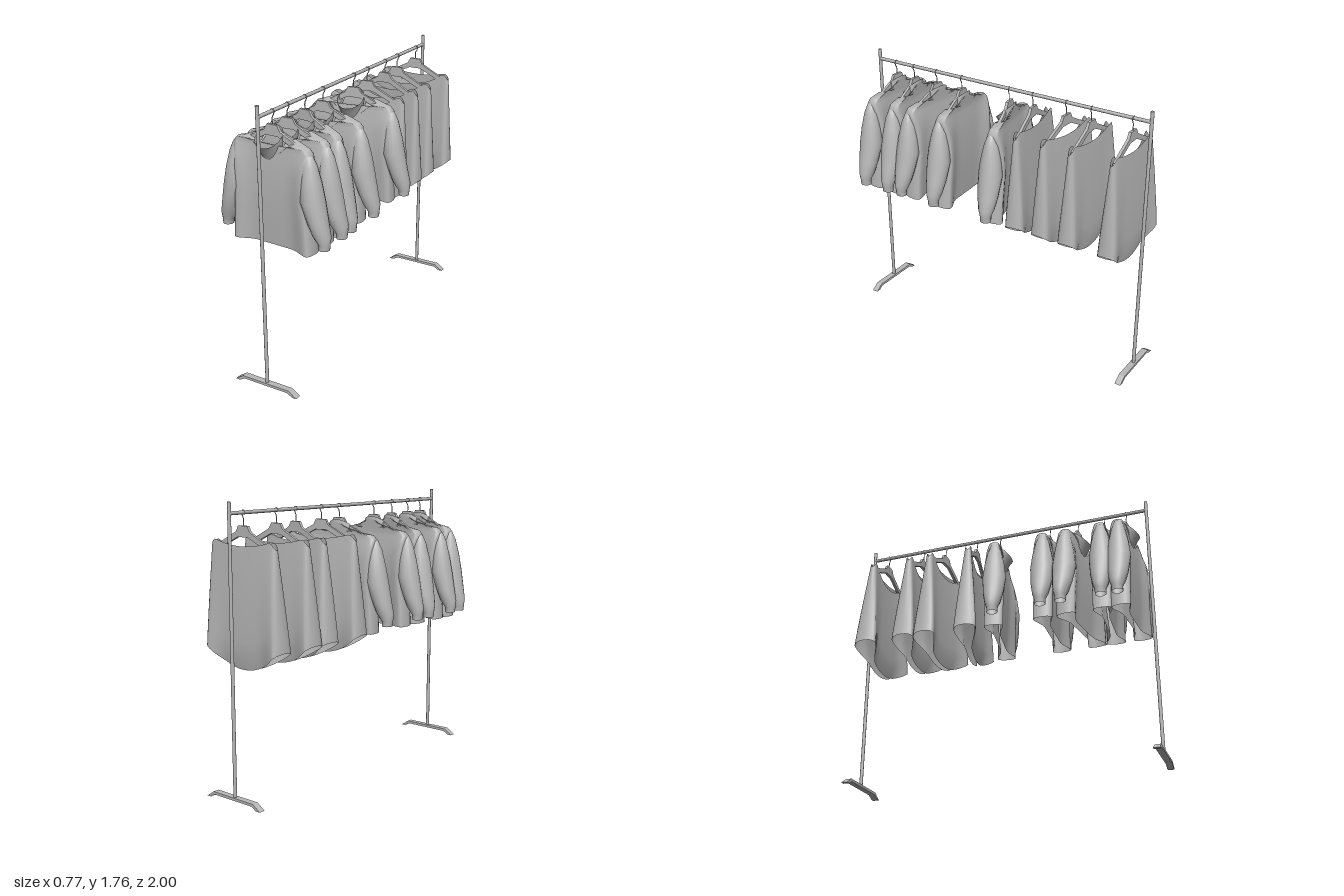
import * as THREE from 'three';

const grey = new THREE.MeshStandardMaterial({ color: 0xb8b8b8, side: THREE.DoubleSide });
grey.name = 'grey';

function part(name, geometry, parent) {
  const mesh = new THREE.Mesh(geometry, grey);
  mesh.name = name;
  parent.add(mesh);
  return mesh;
}

// Closed loops of n points joined into a smooth open-ended skin; point(row, angle) gives [x, y, z]
function loft(rows, n, point) {
  const pos = [], index = [];
  for (let r = 0; r < rows; r++) {
    for (let i = 0; i < n; i++) pos.push(...point(r, (i / n) * Math.PI * 2));
  }
  for (let r = 0; r < rows - 1; r++) {
    for (let i = 0; i < n; i++) {
      const a = r * n + i, b = r * n + (i + 1) % n;
      index.push(a, a + n, b, b, a + n, b + n);
    }
  }
  const g = new THREE.BufferGeometry();
  g.setAttribute('position', new THREE.Float32BufferAttribute(pos, 3));
  g.setIndex(index);
  g.computeVertexNormals();
  return g;
}

// Hanging cloth section: thin in the middle, fuller at the sides, blunt ends
function clothDepth(u, middle) {
  const swell = middle + (1 - middle) * THREE.MathUtils.smoothstep(u, 0.45, 0.95);
  const end = u > 0.92 ? Math.sqrt(Math.max(0, 1 - ((u - 0.92) / 0.08) ** 2)) : 1;
  return swell * end;
}

function hanger(parent) {
  const s = new THREE.Shape();
  const half = [[0.035, 1.62], [0.055, 1.585], [0.22, 1.5], [0.225, 1.48], [0.2, 1.478], [0.04, 1.555]];
  half.forEach(([x, y], i) => (i ? s.lineTo(x, y) : s.moveTo(x, y)));
  [...half].reverse().forEach(([x, y]) => s.lineTo(-x, y));
  const g = new THREE.ExtrudeGeometry(s, { depth: 0.018, bevelEnabled: false });
  g.translate(0, 0, -0.009);
  part('hanger', g, parent);

  // Wire stem with a hook over the rail
  const pts = [[0, 1.61], [0, 1.66], [0.01, 1.68], [0.014, 1.696], [0.006, 1.707], [-0.006, 1.707], [-0.014, 1.695]]
    .map(([x, y]) => new THREE.Vector3(x, y, 0));
  part('hook', new THREE.TubeGeometry(new THREE.CatmullRomCurve3(pts), 20, 0.003, 6), parent);
}

function jacket() {
  const g = new THREE.Group();
  g.name = 'jacket';
  hanger(g);

  // Torso rows: height, half width, half depth, share of depth at the middle, front neck drop
  const body = [
    [0.9, 0.275, 0.062, 0.3, 0], [1.05, 0.265, 0.062, 0.5, 0], [1.2, 0.25, 0.068, 0.58, 0],
    [1.35, 0.253, 0.066, 0.6, 0], [1.44, 0.265, 0.05, 0.7, 0], [1.49, 0.267, 0.034, 0.9, 0],
    [1.515, 0.245, 0.03, 1, 0], [1.56, 0.155, 0.034, 1, 0.05], [1.59, 0.075, 0.036, 1, 0.16],
  ];
  part('torso', loft(body.length, 40, (r, a) => {
    const [y, hw, hd, middle, drop] = body[r];
    const x = Math.cos(a), front = (1 + Math.sin(a)) / 2;
    return [x * hw, y - drop * front, Math.sign(Math.sin(a)) * hd * clothDepth(Math.abs(x), middle)];
  }), g);

  // Sleeve rows: height, centre x, half width, half depth
  const arm = [
    [0.952, 0.345, 0.032, 0.035], [0.985, 0.345, 0.036, 0.035], [1.03, 0.33, 0.055, 0.05],
    [1.1, 0.308, 0.06, 0.064], [1.23, 0.27, 0.073, 0.076], [1.33, 0.263, 0.06, 0.064],
    [1.43, 0.252, 0.046, 0.044], [1.485, 0.243, 0.03, 0.024], [1.5, 0.235, 0.01, 0.006],
  ];
  for (const side of [1, -1]) {
    part(side > 0 ? 'leftSleeve' : 'rightSleeve', loft(arm.length, 16, (r, a) => {
      const [y, cx, rx, rz] = arm[r];
      return [side * cx + Math.cos(a) * rx, y, 0.008 + Math.sin(a) * rz];
    }), g);
  }

  // Open collar rows: half width, half depth, forward lean, height, front drop
  const collar = [
    [0.075, 0.036, 0, 1.59, 0.17], [0.085, 0.036, 0.03, 1.605, 0.13], [0.084, 0.036, 0.05, 1.61, 0.11],
  ];
  part('collar', loft(collar.length, 20, (r, a) => {
    const [rx, rz, lean, y, drop] = collar[r];
    const front = (1 + Math.sin(a)) / 2;
    return [Math.cos(a) * rx - 0.02 * front, y - drop * front, Math.sin(a) * rz + lean * front];
  }), g);
  return g;
}

function top() {
  const g = new THREE.Group();
  g.name = 'sleevelessTop';
  hanger(g);

  // Wide neckline dipping lower in front, curved hem with a tail drawn inwards
  const rows = 10;
  part('topBody', loft(rows, 48, (r, a) => {
    const v = r / (rows - 1), c = Math.cos(a), u = Math.abs(c);
    const hw = THREE.MathUtils.lerp(0.295, 0.255, v);
    const hd = THREE.MathUtils.lerp(0.067, 0.016, v ** 1.15) * (1 - 0.12 * c);
    const hem = 0.79 + 0.13 * u * u;
    const dip = (Math.sin(a) > 0 ? 0.085 : 0.03) * Math.max(0, 1 - (u / 0.82) ** 2);
    const neck = 1.535 - dip - 0.04 * Math.max(0, (u - 0.85) / 0.15) ** 2;
    const z = Math.sign(Math.sin(a)) * hd * clothDepth(u, 0.28 + 0.64 * v ** 0.4);
    return [c * hw - 0.012 * (1 - v), THREE.MathUtils.lerp(hem, neck, v), z - 0.012 * (1 - u * u)];
  }), g);
  return g;
}

export function createModel() {
  const model = new THREE.Group();
  model.name = 'clothesRack';

  // Posts, feet and rail
  const foot = new THREE.Shape();
  [[-0.22, 0], [-0.165, 0.037], [0.165, 0.037], [0.22, 0], [0.19, 0], [0.155, 0.02], [-0.155, 0.02], [-0.19, 0]]
    .forEach(([x, y], i) => (i ? foot.lineTo(x, y) : foot.moveTo(x, y)));
  for (const end of [1, -1]) {
    const post = part('post', new THREE.CylinderGeometry(0.011, 0.011, 1.73, 12), model);
    post.position.set(-0.005, 0.895, end * 0.98);
    const base = part('foot', new THREE.ExtrudeGeometry(foot, { depth: 0.04, bevelEnabled: false }), model);
    base.position.set(-0.005, 0, end * 0.98 - 0.02);
  }
  const rail = part('rail', new THREE.CylinderGeometry(0.011, 0.011, 1.96, 12), model);
  rail.rotation.x = Math.PI / 2;
  rail.position.set(-0.005, 1.695, 0);

  // Garments: place along the rail and turn of each hanger
  const hang = (make, list) => list.forEach(([z, turn]) => {
    const garment = make();
    garment.position.set(-0.003, 0, z);
    garment.rotation.y = turn;
    model.add(garment);
  });
  hang(jacket, [[0.845, -0.05], [0.7, 0.07], [0.52, -0.14], [0.325, 0.05], [-0.03, 0.17]]);
  hang(top, [[-0.2, 0.12], [-0.432, -0.07], [-0.6, 0.01], [-0.868, 0.015]]);
  return model;
}
